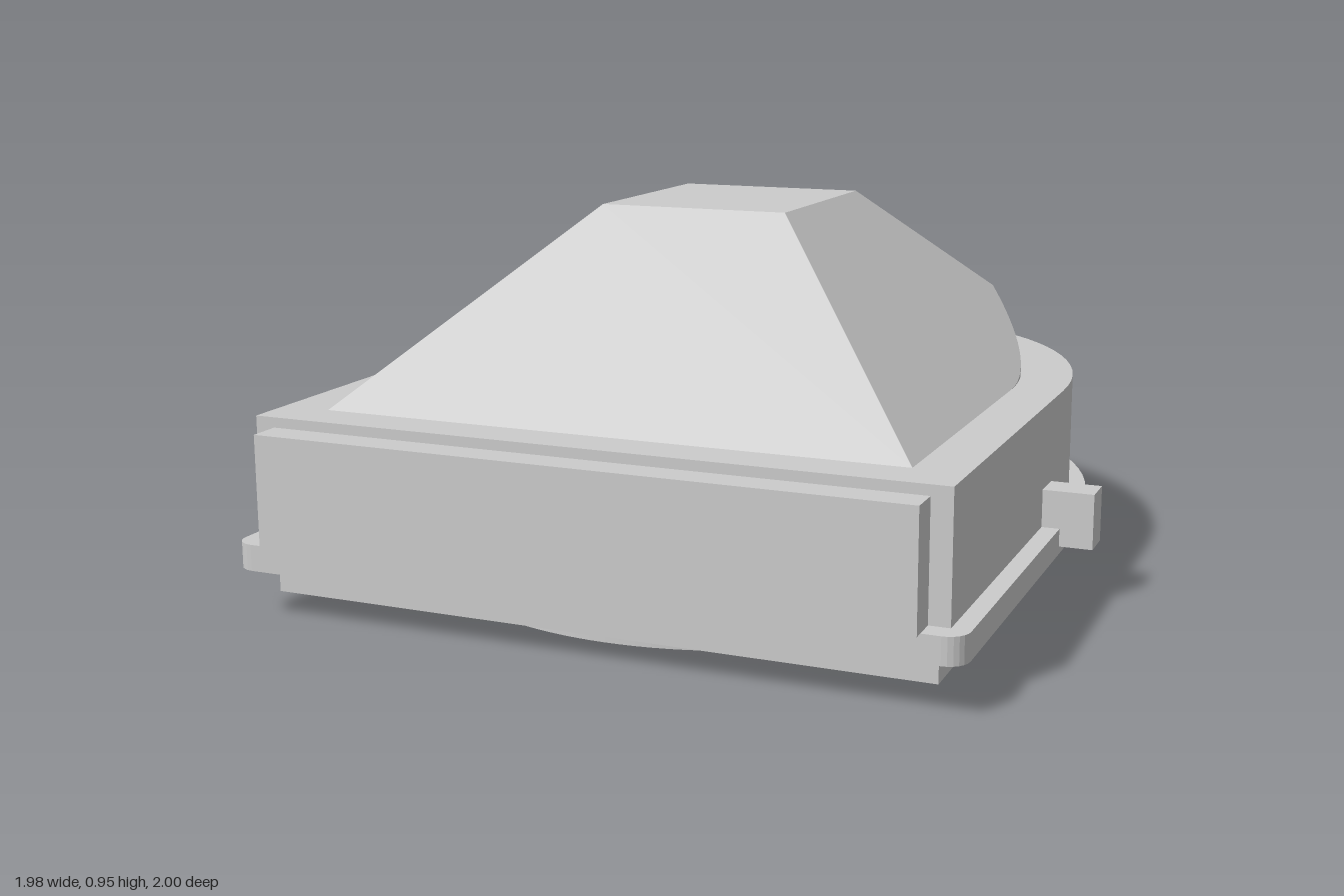
import * as THREE from 'three';

const material = new THREE.MeshStandardMaterial({ color: 0xcccccc });
const BORE_RADIUS = 0.693, BORE_Z = 0.02, RIM_Y = 0.49;

// Quarter-ellipse points [x, z] on the +x back shoulder, between two angles
function shoulder(hw, back, flat, zc, t0, t1, n) {
  return Array.from({ length: n + 1 }, (_, i) => {
    const t = t0 + (t1 - t0) * i / n;
    return [flat + (hw - flat) * Math.cos(t), zc + (back - zc) * Math.sin(t)];
  });
}

const mirror = (pts) => pts.map(([x, z]) => [-x, z]).reverse();

// D-shaped plan outline: square front, rounded back; r rounds the front corners
function outline(hw, front, back, zc, r = 0) {
  const right = [];
  if (r === 0) right.push([hw, front]);
  else for (let i = 0; i <= 6; i++) {
    const a = Math.PI / 2 * (1 - i / 6);
    right.push([hw - r + r * Math.cos(a), front - r + r * Math.sin(a)]);
  }
  right.push(...shoulder(hw, back, 0.13, zc, 0, Math.PI / 2, 20));
  return [...right, ...mirror(right)];
}

// Extrudes a plan shape upward from y0 to y1, with the round bore cut out
function layer(name, shape, y0, y1) {
  shape.holes.push(new THREE.Path().absarc(0, -BORE_Z, BORE_RADIUS, 0, Math.PI * 2, true));
  const geo = new THREE.ExtrudeGeometry(shape, { depth: y1 - y0, bevelEnabled: false, curveSegments: 64 });
  geo.rotateX(-Math.PI / 2).translate(0, y0, 0);
  return named(name, geo);
}

function named(name, geo) {
  const mesh = new THREE.Mesh(geo, material);
  mesh.name = name;
  return mesh;
}

const planShape = (pts) => new THREE.Shape(pts.map(([x, z]) => new THREE.Vector2(x, -z)));

function box(name, x0, x1, y0, y1, z0, z1) {
  const geo = new THREE.BoxGeometry(x1 - x0, y1 - y0, z1 - z0);
  return named(name, geo.translate((x0 + x1) / 2, (y0 + y1) / 2, (z0 + z1) / 2));
}

// Truncated pyramid trimmed by the rounded back outline
function roofGeometry() {
  const hw = 0.735, front = 0.805, back = -0.775, topY = 0.955;
  const tx = 0.245, tf = 0.285, tb = -0.25, ridge = 0.808;
  const rise = topY - RIM_Y;
  const height = ([x, z]) => Math.min(topY,
    RIM_Y + rise * (hw - Math.abs(x)) / (hw - tx),
    RIM_Y + rise * (front - z) / (front - tf),
    RIM_Y + rise * (z - back) / (tb - back));
  const pos = [];
  const put = (p, y = height(p)) => pos.push(p[0], y, p[1]);
  const fan = (pts) => {
    for (let i = 1; i < pts.length - 1; i++) [pts[0], pts[i], pts[i + 1]].forEach((p) => put(p));
  };
  const side = [[hw, front], ...shoulder(hw, back, 0.12, -0.04, 0, ridge, 14)];
  const half = shoulder(hw, back, 0.12, -0.04, ridge, Math.PI / 2, 14);
  const rear = [...half, ...mirror(half)];
  const FR = [tx, tf], BR = [tx, tb], BL = [-tx, tb], FL = [-tx, tf];

  // sloped faces and flat top
  fan([FR, ...side, BR]);
  fan([BR, ...rear, BL]);
  fan([FL, BL, ...mirror(side)]);
  fan([FL, [-hw, front], [hw, front], FR]);
  fan([FR, BR, BL, FL]);

  // upright wall under the trimmed shoulders
  const wall = [...side.slice(1), ...rear.slice(1), ...mirror(side).slice(1, -1)];
  for (let i = 0; i < wall.length - 1; i++) {
    const a = wall[i], b = wall[i + 1];
    put(a, RIM_Y); put(b, RIM_Y); put(b);
    put(a, RIM_Y); put(b); put(a);
  }
  const geo = new THREE.BufferGeometry();
  geo.setAttribute('position', new THREE.Float32BufferAttribute(pos, 3));
  geo.computeVertexNormals();
  return geo;
}

export function createModel() {
  const model = new THREE.Group();
  model.name = 'housing';

  // stacked layers around the bore
  const ring = new THREE.Shape().absarc(0, -BORE_Z, 0.787, 0, Math.PI * 2, false);
  model.add(
    layer('baseRing', ring, 0, 0.05),
    layer('lowerStep', planShape(outline(0.83, 0.9, -0.925, -0.08)), 0.05, 0.12),
    layer('flange', planShape(outline(0.905, 0.975, -1, -0.08, 0.05)), 0.12, 0.185),
    layer('body', planShape(outline(0.86, 0.92, -0.965, -0.08)), 0.185, RIM_Y),
  );

  // roof and bore ceiling
  model.add(named('roof', roofGeometry()));
  const ceiling = new THREE.CircleGeometry(BORE_RADIUS + 0.005, 64);
  model.add(named('boreCeiling', ceiling.rotateX(Math.PI / 2).translate(0, RIM_Y, BORE_Z)));

  // raised plates
  model.add(
    box('frontPlate', -0.81, 0.81, 0.185, 0.465, 0.9, 1),
    box('backPlate', -0.28, 0.28, 0.15, 0.465, -1, -0.9),
  );

  // side lugs: two on the right, one on the left
  for (const [sign, z] of [[-1, -0.307], [-1, 0.435], [1, 0.065]]) {
    const lug = box('sideLug', -0.068, 0.068, 0.14, 0.28, z - 0.045, z + 0.045);
    lug.position.x = sign * 0.92;
    model.add(lug);
  }
  return model;
}
